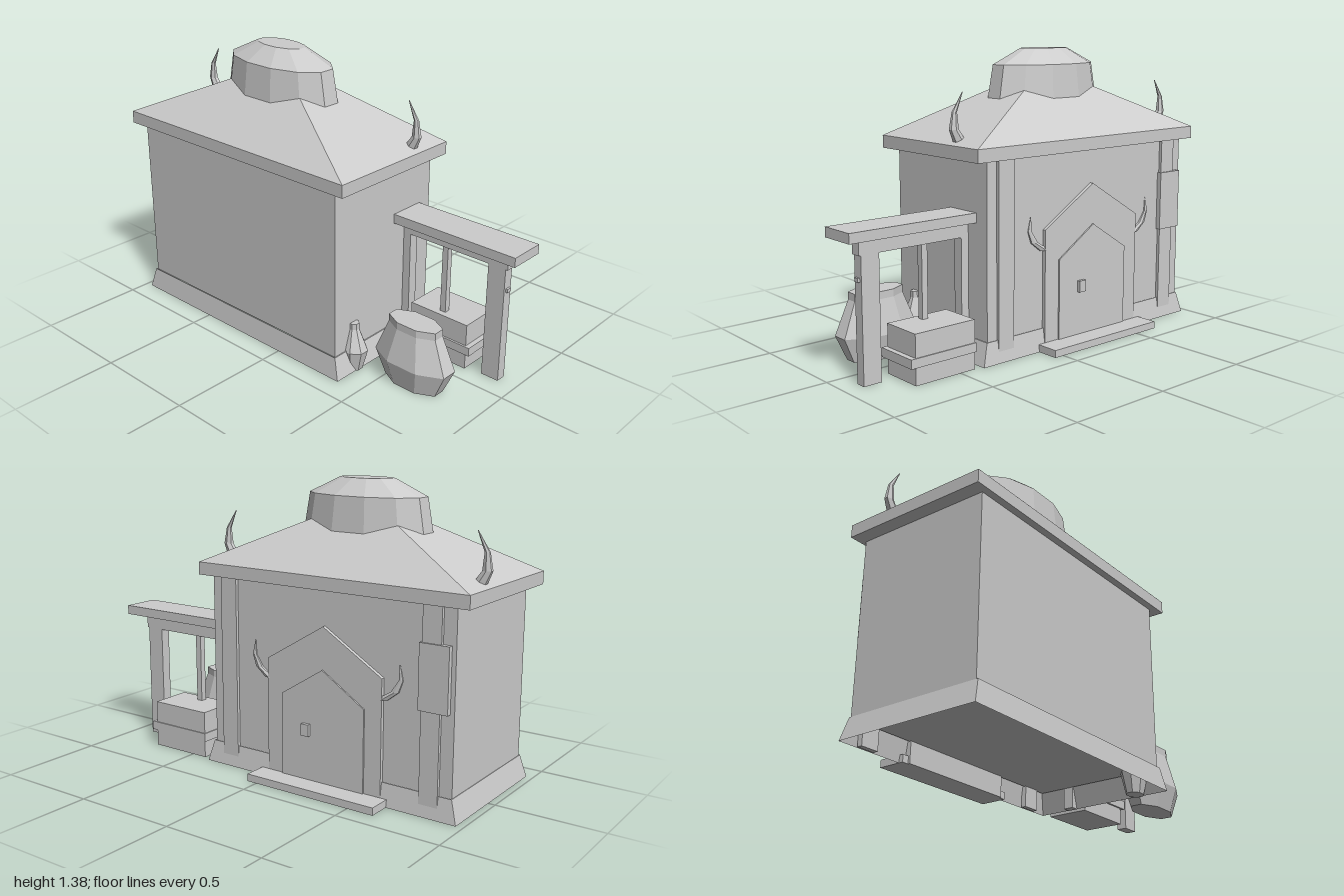
import * as THREE from 'three';

export function createModel() {
  const model = new THREE.Group();
  const stone = new THREE.MeshStandardMaterial({ color: 0xcccccc, side: THREE.DoubleSide, flatShading: true });
  stone.name = 'pale grey';
  const CX = -0.2925, CZ = 0.0475; // centre of the house

  function add(name, geometry) {
    const mesh = new THREE.Mesh(geometry, stone);
    mesh.name = name;
    model.add(mesh);
    return mesh;
  }

  // box from its extents
  function box(name, x0, x1, y0, y1, z0, z1) {
    const g = new THREE.BoxGeometry(x1 - x0, y1 - y0, z1 - z0);
    return add(name, g.translate((x0 + x1) / 2, (y0 + y1) / 2, (z0 + z1) / 2));
  }

  // faceted turned form: profile gives [half width in x, y], flattened in z
  function turned(name, sides, profile, x, z, flat) {
    const k = 1 / Math.cos(Math.PI / sides);
    const points = profile.map(([r, y]) => new THREE.Vector2(r * k, y));
    const g = new THREE.LatheGeometry(points, sides, Math.PI / sides).toNonIndexed();
    g.scale(1, 1, flat).translate(x, 0, z);
    g.computeVertexNormals();
    return add(name, g);
  }

  // tapered horn bent along a curve, s = side of the house
  function horn(name, s, path, z, rx, rz) {
    const curve = new THREE.QuadraticBezierCurve(...path.map(([x, y]) => new THREE.Vector2(x, y)));
    const g = new THREE.CylinderGeometry(0.002, 1 * rx, 1, 6, 3);
    const p = g.attributes.position;
    for (let i = 0; i < p.count; i++) {
      const c = curve.getPoint(p.getY(i) + 0.5);
      p.setXYZ(i, CX + s * c.x + p.getX(i), c.y, z + p.getZ(i) * rz / rx);
    }
    g.computeVertexNormals();
    return add(name, g);
  }

  // pointed panel on the rear wall
  function gable(name, half, eave, apex, z0, z1) {
    const shape = new THREE.Shape([[-half, 0], [half, 0], [half, eave], [0, apex], [-half, eave]]
      .map(([x, y]) => new THREE.Vector2(x, y)));
    const g = new THREE.ExtrudeGeometry(shape, { depth: z1 - z0, bevelEnabled: false });
    return add(name, g.translate(CX, 0, z0));
  }

  // house
  box('walls', -0.935, 0.345, 0.1, 0.915, -0.28, 0.372);
  turned('flaredBase', 4, [[0.675, 0], [0.645, 0.105], [0.64, 0.105]], CX, CZ, 0.519);
  box('eaves', -1, 0.415, 0.915, 0.975, -0.305, 0.405);
  turned('hipRoof', 4, [[0.7075, 0.975], [0, 1.291]], CX, 0.05, 0.502);
  turned('roofDome', 12, [[0.318, 1.145], [0.29, 1.305], [0.135, 1.38], [0, 1.38]], CX, 0.05, 0.51);
  for (const s of [-1, 1]) {
    horn('roofHorn', s, [[0.645, 0.975], [0.735, 1.07], [0.635, 1.205]], -0.112, 0.035, 0.026);
    horn('doorHorn', s, [[0.3, 0.475], [0.42, 0.53], [0.385, 0.64]], -0.285, 0.03, 0.014);
    const x = CX + s * 0.537;
    box('wallPost', x - 0.045, x + 0.045, 0, 0.915, -0.295, -0.27);
  }

  // rear entrance
  gable('doorFrame', 0.305, 0.57, 0.755, -0.298, -0.27);
  gable('door', 0.22, 0.42, 0.56, -0.305, -0.29);
  box('doorHandle', -0.23, -0.19, 0.245, 0.3, -0.322, -0.3);
  box('doorStep', -0.63, 0.05, 0, 0.035, -0.41, -0.28);
  box('noticeBoard', -0.915, -0.775, 0.465, 0.755, -0.303, -0.28);

  // side shelter
  box('shelterRoof', 0.345, 1, 0.635, 0.68, -0.207, -0.025);
  box('shelterBeam', 0.345, 0.92, 0.565, 0.635, -0.15, -0.1);
  box('shelterPost', 0.82, 0.91, 0, 0.57, -0.15, -0.1);
  box('wallSidePost', 0.345, 0.385, 0, 0.57, -0.15, -0.1);
  box('postPeg', 0.9, 0.92, 0.45, 0.468, -0.138, -0.112);
  box('hangingPole', 0.565, 0.595, 0.2, 0.57, -0.14, -0.11);
  box('chest', 0.42, 0.74, 0, 0.228, -0.285, -0.08);
  box('chestBand', 0.415, 0.765, 0.08, 0.122, -0.29, -0.07);

  // pots
  turned('largePot', 8, [[0, 0], [0.142, 0], [0.195, 0.12], [0.13, 0.28], [0.13, 0.315], [0, 0.315]], 0.635, 0.163, 0.5);
  turned('smallPot', 8, [[0, 0], [0.045, 0], [0.07, 0.1], [0.028, 0.205], [0.028, 0.235], [0, 0.235]], 0.345, 0.25, 0.8);

  return model;
}
